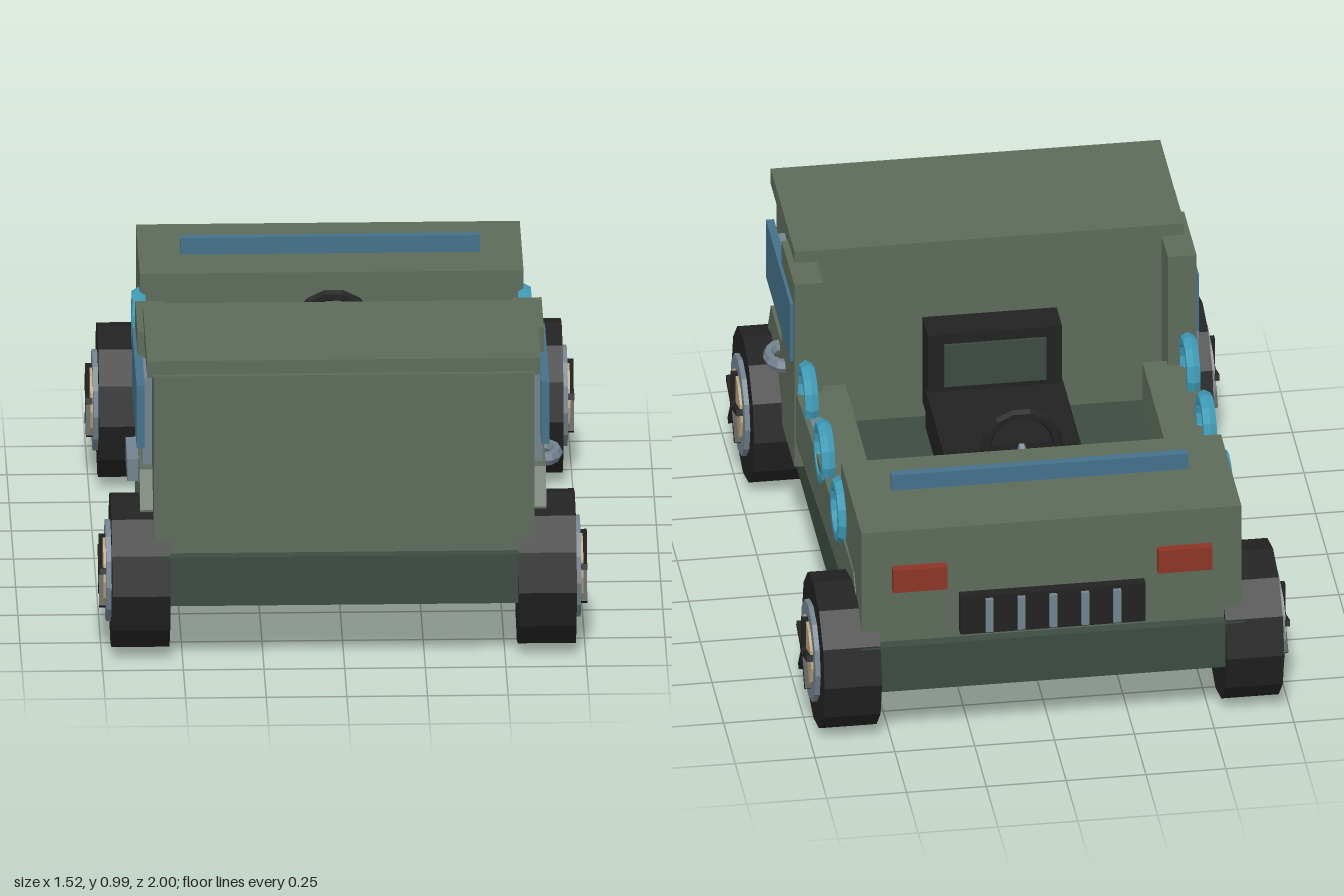
import * as THREE from 'three';

const mat = (name, color) => new THREE.MeshStandardMaterial({ name, color, flatShading: true });

export function createModel() {
  const green = mat('bodyGreen', 0x5d6b5a);
  const dark = mat('chassisGreen', 0x3c4b42);
  const black = mat('black', 0x222222);
  const grey = mat('steelGrey', 0x72828e);
  const tan = mat('hubTan', 0xb8a27a);
  const red = mat('lampRed', 0x8c3425);
  const glass = mat('glassBlue', 0x43718a);
  const teal = mat('hoopTeal', 0x3f9cb8);

  const root = new THREE.Group();
  root.name = 'openTruck';

  const add = (name, geo, material, parent = root) => {
    const m = new THREE.Mesh(geo, material);
    m.name = name;
    parent.add(m);
    return m;
  };
  // Box given by its limits on each axis
  const box = (name, material, [x0, x1], [y0, y1], [z0, z1], parent = root) => {
    const g = new THREE.BoxGeometry(x1 - x0, y1 - y0, z1 - z0);
    g.translate((x0 + x1) / 2, (y0 + y1) / 2, (z0 + z1) / 2);
    return add(name, g, material, parent);
  };
  // Outline in (z, y), extruded across x from x0 to x1
  const sideShape = (points, x0, x1) => {
    const shape = new THREE.Shape(points.map(([z, y]) => new THREE.Vector2(z, y)));
    const g = new THREE.ExtrudeGeometry(shape, { depth: x1 - x0, bevelEnabled: false });
    return g.rotateY(-Math.PI / 2).translate(x1, 0, 0);
  };
  // Limits mirrored to side s
  const span = (s, a, b) => (s > 0 ? [a, b] : [-b, -a]);

  // Chassis, cab and rear box
  box('chassis', dark, [-0.6, 0.6], [0.2, 0.36], [-0.97, 0.97]);
  box('cab', green, [-0.59, 0.59], [0.36, 0.945], [0.41, 0.93]);
  box('roof', green, [-0.61, 0.61], [0.935, 0.99], [0.4, 0.915]);
  box('rearBox', green, [-0.595, 0.595], [0.36, 0.755], [-0.935, -0.495]);
  box('rearScreen', glass, [-0.465, 0.465], [0.75, 0.81], [-0.69, -0.663]);

  for (const s of [1, -1]) {
    // Pillar with fender in one outline
    const fender = [[0.27, 0.295], [0.54, 0.295], [0.84, 0.4], [0.84, 0.47], [0.775, 0.58],
      [0.54, 0.58], [0.54, 0.95], [0.27, 0.95]];
    add('pillarAndFender', sideShape(fender, ...span(s, 0.54, 0.63)), green);

    // Side wall, narrowing towards the rear
    const wall = sideShape([[0.3, 0.38], [0.3, 0.56], [-0.25, 0.555], [-0.78, 0.525],
      [-0.82, 0.47], [-0.82, 0.38]], ...span(s, 0.465, 0.625));
    const p = wall.attributes.position;
    for (let i = 0; i < p.count; i++) {
      if (Math.abs(p.getX(i)) > 0.55) p.setX(i, s * (0.625 + (p.getZ(i) - 0.3) * 0.025));
    }
    wall.computeVertexNormals();
    add('sideWall', wall, green);

    // Side window over its backing plate
    box('windowBacking', grey, span(s, 0.585, 0.62), [0.58, 0.865], [0.545, 0.73]);
    box('sideWindow', glass, span(s, 0.615, 0.64), [0.665, 0.87], [0.29, 0.81]);

    // Row of hoops
    for (const z of [0.2, -0.155, -0.51]) {
      const hoop = add('hoop', new THREE.TorusGeometry(0.084, 0.024, 6, 12), teal);
      hoop.rotation.y = Math.PI / 2;
      hoop.position.set(s * 0.598, 0.593, z);
    }

    box('tailLamp', red, span(s, 0.33, 0.5), [0.55, 0.63], [-0.965, -0.93]);

    // Wheels
    for (const z of [0.757, -0.757]) {
      const wheel = new THREE.Group();
      wheel.name = z > 0 ? 'frontWheel' : 'rearWheel';
      wheel.position.set(s * 0.63, 0.243, z);
      root.add(wheel);
      const disc = (name, r, a, b, m, n) => {
        const g = new THREE.CylinderGeometry(r, r, b - a, n);
        g.rotateZ(Math.PI / 2).translate(s * (a + b) / 2, 0, 0);
        return add(name, g, m, wheel);
      };
      disc('tyre', 0.243, -0.09, 0.09, black, 12);
      disc('rim', 0.16, 0.08, 0.106, grey, 12);
      disc('hub', 0.113, 0.1, 0.114, tan, 12);
      disc('hubCap', 0.022, 0.1, 0.128, black, 8);
      for (let i = 0; i < 5; i++) {
        const g = new THREE.BoxGeometry(0.02, 0.115, 0.02);
        g.translate(s * 0.117, 0.06, 0).rotateX((i * Math.PI * 2) / 5);
        add('spoke', g, black, wheel);
      }
    }
  }

  // Different fittings on each side
  const handle = add('stepHandle', new THREE.TorusGeometry(0.062, 0.022, 6, 6, Math.PI), grey);
  handle.geometry.rotateX(Math.PI / 2).rotateY(Math.PI / 2).scale(0.8, 1, 1);
  handle.position.set(0.622, 0.537, 0.538);
  box('sideLocker', grey, [-0.665, -0.6], [0.5, 0.572], [0.46, 0.66]);
  box('wallPlate', grey, [0.57, 0.605], [0.55, 0.563], [-0.09, 0.11]);

  // Grille
  box('grille', black, [-0.29, 0.29], [0.385, 0.52], [-0.968, -0.93]);
  for (let i = -2; i <= 2; i++) {
    box('grilleBar', grey, [i * 0.1 - 0.012, i * 0.1 + 0.012], [0.395, 0.51], [-0.982, -0.96]);
  }

  // Seat
  box('seatCushion', black, [-0.215, 0.215], [0.385, 0.52], [-0.09, 0.3]);
  box('seatBack', black, [-0.21, 0.21], [0.42, 0.725], [0.28, 0.395]);
  box('seatPad', dark, [-0.16, 0.16], [0.54, 0.69], [0.272, 0.285]);

  // Steering wheel and column
  const steering = add('steeringWheel', new THREE.TorusGeometry(0.113, 0.018, 6, 14), black);
  steering.position.set(0, 0.645, -0.287);
  box('steeringSpoke', black, [-0.11, 0.11], [0.635, 0.655], [-0.295, -0.28]);
  const path = new THREE.LineCurve3(new THREE.Vector3(0, 0.65, -0.287), new THREE.Vector3(0, 0.365, -0.475));
  add('steeringColumn', new THREE.TubeGeometry(path, 1, 0.014, 6), grey);

  return root;
}
